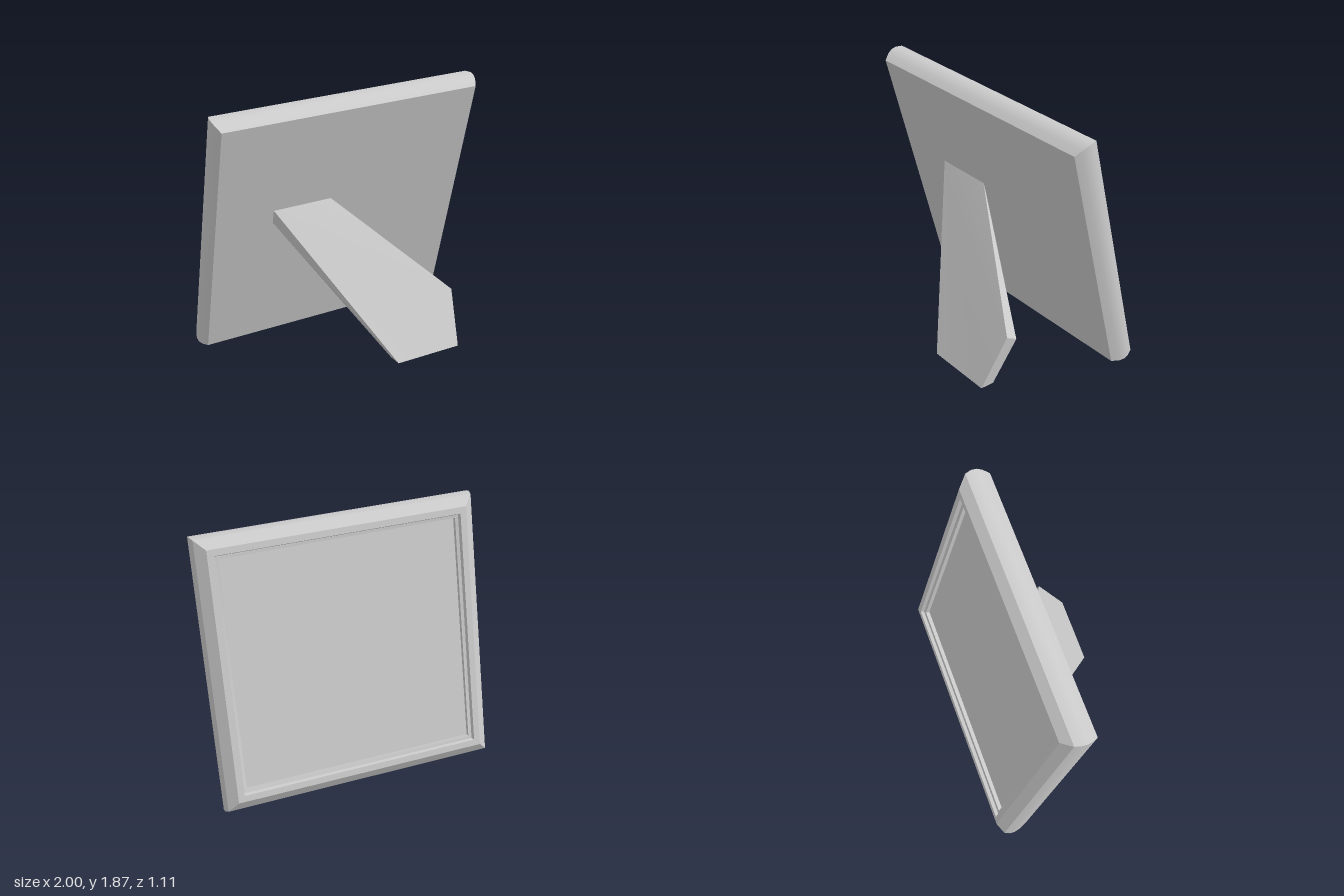
import * as THREE from 'three';
import { toCreasedNormals } from 'three/addons/utils/BufferGeometryUtils.js';

const material = new THREE.MeshStandardMaterial({ color: 0xcccccc });

// Joins equal-length rings (counter-clockwise seen from +z, running toward -z) and caps the ends
function loft(rings, capEnd = true) {
  const n = rings[0].length;
  const last = (rings.length - 1) * n;
  const index = [];
  for (let k = 0; k < rings.length - 1; k++) {
    for (let j = 0; j < n; j++) {
      const a = k * n + j, b = k * n + (j + 1) % n;
      index.push(a, a + n, b, b, a + n, b + n);
    }
  }
  for (let j = 1; j < n - 1; j++) {
    index.push(0, j, j + 1);
    if (capEnd) index.push(last, last + j + 1, last + j);
  }
  const geometry = new THREE.BufferGeometry();
  geometry.setAttribute('position', new THREE.Float32BufferAttribute(rings.flat(2), 3));
  geometry.setIndex(index);
  return toCreasedNormals(geometry, Math.PI / 6);
}

function addMesh(parent, name, geometry) {
  const mesh = new THREE.Mesh(geometry, material);
  mesh.name = name;
  parent.add(mesh);
  return mesh;
}

export function createModel() {
  const model = new THREE.Group();
  model.name = 'pictureFrame';

  // Leaning frame, with the picture on its -z side
  const panel = new THREE.Group();
  panel.name = 'leaningFrame';
  panel.position.set(0, 0.01, -0.35);
  panel.rotation.x = 0.254;
  model.add(panel);

  const halfWidth = 1, halfHeight = 0.963, centreY = 0.93;
  // Moulding profile: [inset from the outer edge, distance from the flat rear]
  const profile = [
    [0.033, 0], [0.01, 0.05], [0, 0.09], [0, 0.13], [0.013, 0.175], [0.08, 0.229],
    [0.125, 0.229], [0.133, 0.205], [0.155, 0.2], [0.155, 0.172],
  ];
  const corners = [[-1, -1], [1, -1], [1, 1], [-1, 1]];
  const rings = profile.map(([inset, depth]) => corners.map(([sx, sy]) =>
    [sx * (halfWidth - inset), centreY + sy * (halfHeight - inset), -depth]));
  addMesh(panel, 'frameMoulding', loft(rings, false));

  // Picture set into the opening
  const [inset, depth] = profile[profile.length - 1];
  const picture = addMesh(panel, 'picture',
    new THREE.PlaneGeometry(2 * (halfWidth - inset), 2 * (halfHeight - inset)));
  picture.position.set(0, centreY, -depth);
  picture.rotation.y = Math.PI;

  // Slanted support leg, from the outer face to the inner face
  const outer = [
    [-0.54, 1.11, -0.067], [0.11, 0.022, 0.55], [0.61, 0.022, 0.555],
    [0.66, 0.39, 0.37], [-0.1, 1.11, -0.067],
  ];
  const inner = [
    [-0.54, 1.01, -0.093], [0.11, 0.015, 0.45], [0.61, 0.015, 0.45],
    [0.66, 0.34, 0.285], [-0.1, 1.01, -0.093],
  ];
  addMesh(model, 'supportLeg', loft([outer, inner]));

  return model;
}
